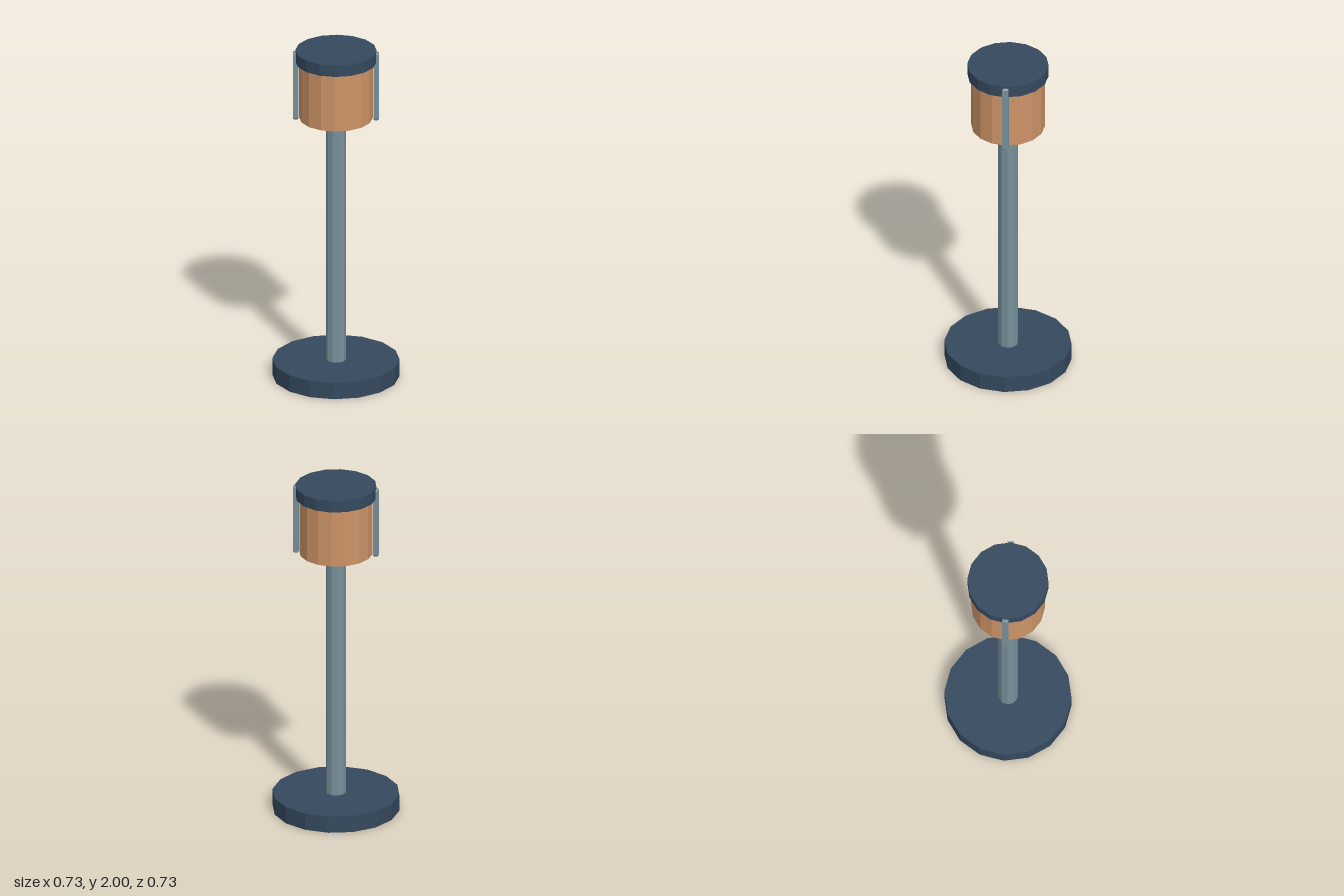
import * as THREE from 'three';

const material = (color) => new THREE.MeshStandardMaterial({ color, flatShading: true });

export function createModel() {
  const group = new THREE.Group();
  const navy = material(0x34495e);
  const copper = material(0xcd9468);
  const steel = material(0x78909c);

  // Upright faceted cylinder between two heights
  const drum = (name, radius, y0, y1, sides, mat) => {
    const geometry = new THREE.CylinderGeometry(radius, radius, y1 - y0, sides);
    geometry.rotateY(Math.PI / 2);
    const mesh = new THREE.Mesh(geometry, mat);
    mesh.name = name;
    mesh.position.y = (y0 + y1) / 2;
    group.add(mesh);
  };

  drum('base', 0.363, 0, 0.1, 16, navy);
  drum('pole', 0.058, 0.1, 1.59, 10, steel);
  drum('body', 0.21, 1.585, 1.92, 16, copper);
  drum('cap', 0.232, 1.93, 2, 16, navy);

  // Chamfered side brackets joining the body to the cap
  const bevel = 0.008;
  const w = 0.016 - bevel, d = 0.018 - bevel, y0 = 1.575, y1 = 1.99;
  const section = new THREE.Shape([
    [-w, -d], [w, -d], [w, d], [-w, d],
  ].map(([x, y]) => new THREE.Vector2(x, y)));
  const bracketGeometry = new THREE.ExtrudeGeometry(section, {
    depth: y1 - y0 - 2 * bevel,
    bevelThickness: bevel,
    bevelSize: bevel,
    bevelSegments: 1,
  });
  bracketGeometry.rotateX(-Math.PI / 2);
  for (const side of [1, -1]) {
    const bracket = new THREE.Mesh(bracketGeometry, steel);
    bracket.name = side > 0 ? 'leftBracket' : 'rightBracket';
    bracket.position.set(side * 0.229, y0 + bevel, 0);
    group.add(bracket);
  }

  return group;
}
